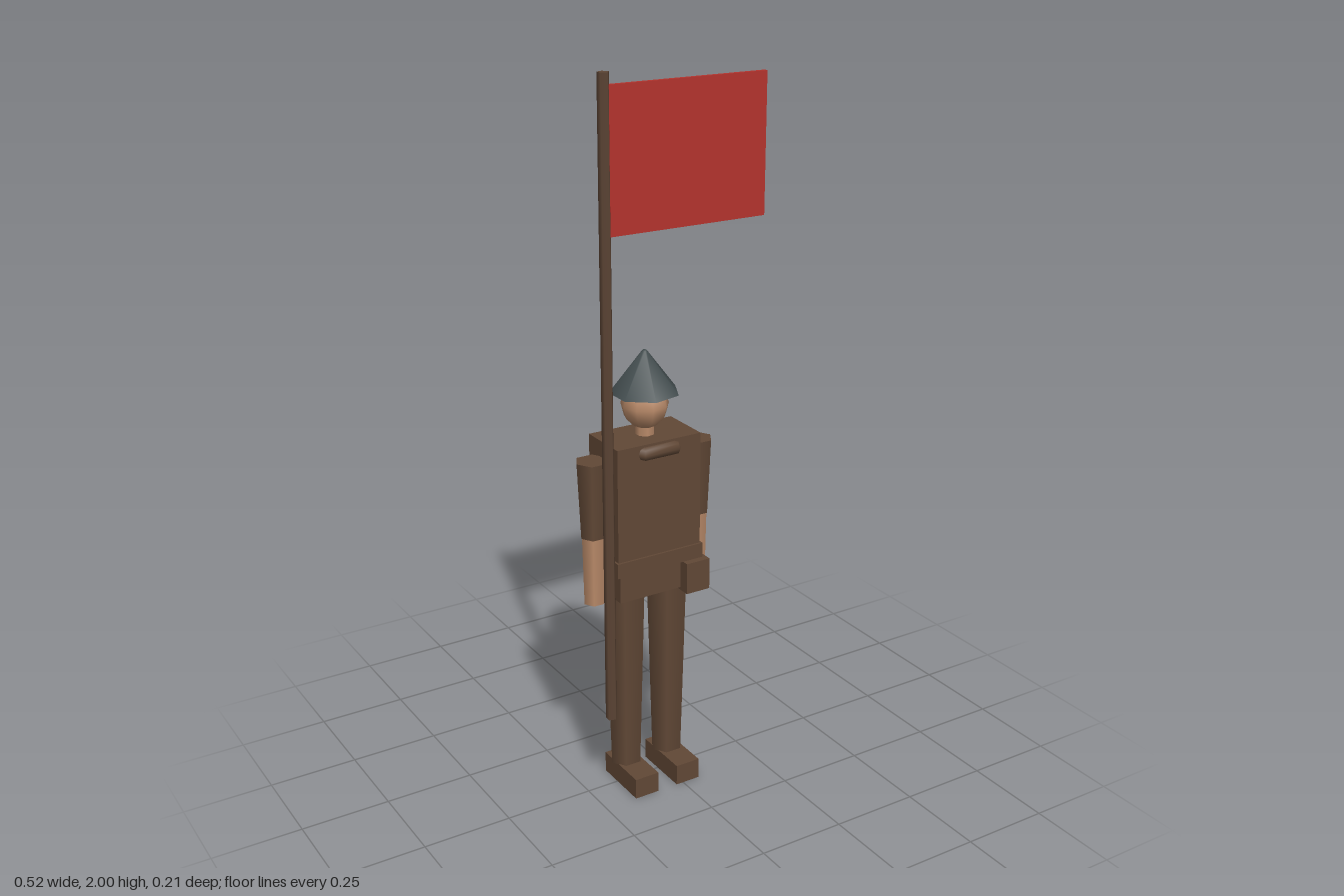
import * as THREE from 'three';

const material = (name, color) => {
  const m = new THREE.MeshStandardMaterial({ color });
  m.name = name;
  return m;
};

export function createModel() {
  const cloth = material('brown cloth', 0x614836);
  const wood = material('brown wood', 0x5e4636);
  const skin = material('skin', 0xb98a69);
  const steel = material('dark steel', 0x434d4f);
  const red = material('red flag', 0xb4332d);

  const model = new THREE.Group();
  model.name = 'flagBearer';
  const figure = new THREE.Group();
  figure.name = 'figure';
  figure.position.set(-0.052, 0, -0.013);
  model.add(figure);

  const add = (parent, name, geometry, mat, x, y, z) => {
    const mesh = new THREE.Mesh(geometry, mat);
    mesh.name = name;
    mesh.position.set(x, y, z);
    parent.add(mesh);
    return mesh;
  };
  const box = (parent, name, mat, w, h, d, x, y, z) =>
    add(parent, name, new THREE.BoxGeometry(w, h, d), mat, x, y, z);
  // Tapered prism between two heights, with one corner pointing to +x
  const prism = (parent, name, mat, rTop, rBottom, y0, y1, sides, x, z) =>
    add(parent, name, new THREE.CylinderGeometry(rTop, rBottom, y1 - y0, sides).rotateY(Math.PI / 2),
      mat, x, (y0 + y1) / 2, z);

  // Trunk
  box(figure, 'torso', cloth, 0.256, 0.365, 0.149, 0, 0.8525, 0);
  box(figure, 'belt', cloth, 0.267, 0.042, 0.161, 0, 0.694, 0);
  box(figure, 'hips', cloth, 0.235, 0.1, 0.13, 0, 0.64, 0);
  box(figure, 'pouch', cloth, 0.073, 0.09, 0.046, 0.109, 0.627, 0.075);

  // Rolled collar, whose sides sink into the shoulders
  add(figure, 'collar', new THREE.TorusGeometry(0.088, 0.019, 8, 6).rotateX(Math.PI / 2),
    cloth, 0, 1.01, 0);

  // Head and pointed hat
  prism(figure, 'neck', skin, 0.026, 0.026, 1.02, 1.09, 7, 0, 0);
  add(figure, 'head', new THREE.SphereGeometry(0.065, 9, 6), skin, 0, 1.118, 0);
  prism(figure, 'hat', steel, 0.006, 0.095, 1.152, 1.267, 7, 0, 0);

  // Arms and legs, mirrored about the body
  for (const side of [1, -1]) {
    const label = side > 0 ? 'left' : 'right';
    prism(figure, label + 'UpperArm', cloth, 0.046, 0.036, 0.775, 0.99, 6, side * 0.162, 0);
    prism(figure, label + 'Forearm', skin, 0.034, 0.03, 0.58, 0.776, 6, side * 0.162, 0);
    prism(figure, label + 'Leg', cloth, 0.062, 0.046, 0.058, 0.6, 6, side * 0.067, 0);
    box(figure, label + 'Shoe', cloth, 0.073, 0.06, 0.17, side * 0.067, 0.03, 0.031);
  }

  // Banner
  prism(model, 'pole', wood, 0.0158, 0.0158, 0.26, 2, 5, -0.211, 0.068);
  box(model, 'flag', red, 0.457, 0.367, 0.0125, 0.029, 1.786, 0.068);
  return model;
}
